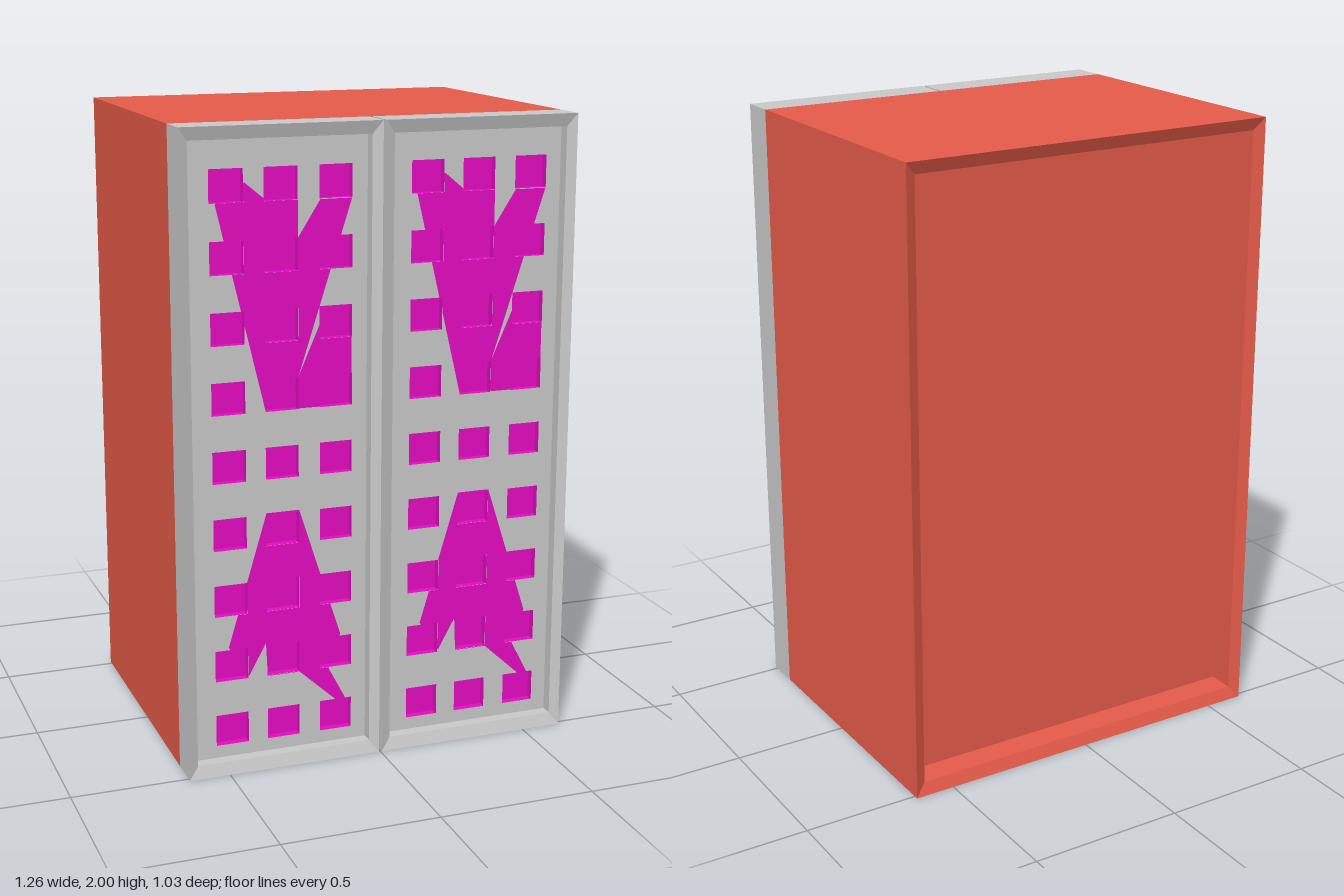
import * as THREE from 'three';

const GREY = new THREE.MeshStandardMaterial({ color: 0xcccccc, flatShading: true });
const RED = new THREE.MeshStandardMaterial({ color: 0xe85c4a, flatShading: true });
const MAGENTA = new THREE.MeshStandardMaterial({ color: 0xe80cc4, flatShading: true, side: THREE.DoubleSide });

function named(name, geometry, material) {
  const mesh = new THREE.Mesh(geometry, material);
  mesh.name = name;
  return mesh;
}

function flatGeometry(points) {
  const g = new THREE.BufferGeometry();
  g.setAttribute('position', new THREE.Float32BufferAttribute(points.flat(), 3));
  g.computeVertexNormals();
  return g;
}

// Skin through nested rectangles; each ring is [x inset, y inset, z]
function rectLoft([x0, x1, y0, y1], rings, startCap, endCap) {
  const loops = rings.map(([a, b, z]) => [
    [x0 + a, y0 + b, z], [x1 - a, y0 + b, z], [x1 - a, y1 - b, z], [x0 + a, y1 - b, z]]);
  const out = [];
  const quad = (a, b, c, d) => out.push(a, b, c, a, c, d);
  for (let r = 0; r + 1 < loops.length; r++) {
    const A = loops[r], B = loops[r + 1];
    for (let i = 0; i < 4; i++) {
      const j = (i + 1) % 4;
      quad(A[i], A[j], B[j], B[i]);
    }
  }
  if (startCap) quad(...[...loops[0]].reverse());
  if (endCap) quad(...loops[loops.length - 1]);
  return flatGeometry(out);
}

// Clip a convex polygon to a rectangle
function clip(poly, [x0, x1, y0, y1]) {
  for (const [axis, limit, sign] of [[0, x0, 1], [0, x1, -1], [1, y0, 1], [1, y1, -1]]) {
    const next = [];
    poly.forEach((p, i) => {
      const q = poly[(i + 1) % poly.length];
      const dp = sign * (p[axis] - limit), dq = sign * (q[axis] - limit);
      if (dp >= 0) next.push(p);
      if (dp * dq < 0) {
        const t = dp / (dp - dq);
        next.push([p[0] + t * (q[0] - p[0]), p[1] + t * (q[1] - p[1])]);
      }
    });
    poly = next;
  }
  return poly;
}

const PANEL_Z = 0.465;
const COLUMNS = [[-0.528, -0.423], [-0.36, -0.255], [-0.187, -0.083]];
const ROWS = Array.from({ length: 9 }, (_, i) => [0.08 + i * 0.2115, 0.18 + i * 0.2115]);
const WINDOWS = ROWS.flatMap(r => COLUMNS.map(c => [...c, ...r]));

// Angular colour patches on the panel, as convex pieces
const PATCHES = [
  [[-0.51, 1.77], [-0.42, 1.83], [-0.36, 1.78], [-0.36, 1.14]],
  [[-0.36, 1.78], [-0.255, 1.77], [-0.255, 1.14], [-0.36, 1.14]],
  [[-0.255, 1.66], [-0.185, 1.77], [-0.085, 1.77], [-0.255, 1.24]],
  [[-0.255, 1.24], [-0.185, 1.4], [-0.085, 1.4], [-0.085, 1.14], [-0.255, 1.14]],
  [[-0.36, 0.82], [-0.255, 0.82], [-0.12, 0.4], [-0.485, 0.4]],
  [[-0.485, 0.4], [-0.365, 0.4], [-0.42, 0.3]],
  [[-0.365, 0.4], [-0.12, 0.4], [-0.16, 0.29], [-0.255, 0.29], [-0.36, 0.29]],
  [[-0.255, 0.29], [-0.16, 0.29], [-0.1, 0.175], [-0.13, 0.175]],
];

// Patches cut to the strips between the windows, so the recesses stay open
function patchGeometry() {
  const spans = (bands, lo, hi) => {
    const edges = [lo, ...bands.flat(), hi];
    return edges.slice(1).map((e, i) => [edges[i], e]);
  };
  const out = [];
  spans(ROWS, 0.04, 1.96).forEach((r, ri) => spans(COLUMNS, -0.6, -0.035).forEach((c, ci) => {
    if (ri % 2 && ci % 2) return;
    for (const patch of PATCHES) {
      const p = clip(patch, [...c, ...r]).map(([x, y]) => [x, y, PANEL_Z + 0.002]);
      // pieces run clockwise, so the fan is reversed to face forward
      for (let i = 1; i + 1 < p.length; i++) out.push(p[0], p[i + 1], p[i]);
    }
  }));
  return flatGeometry(out);
}

function rectPath(path, [x0, x1, y0, y1]) {
  path.moveTo(x0, y0);
  path.lineTo(x1, y0);
  path.lineTo(x1, y1);
  path.lineTo(x0, y1);
  path.closePath();
  return path;
}

function makeDoor(name) {
  const door = new THREE.Group();
  door.name = name;

  // Slab with a bevelled border and a sunken face
  door.add(named('doorFrame', rectLoft([-0.63, -0.005, 0, 2], [
    [0, 0, 0.4], [0, 0, 0.515], [0.03, 0.04, 0.503], [0.03, 0.04, PANEL_Z]], true, false), GREY));

  const panel = rectPath(new THREE.Shape(), [-0.6, -0.035, 0.04, 1.96]);
  panel.holes = WINDOWS.map(w => rectPath(new THREE.Path(), w));
  door.add(named('doorPanel', new THREE.ShapeGeometry(panel).translate(0, 0, PANEL_Z), GREY));

  // Square recesses
  for (const w of WINDOWS) {
    door.add(named('windowRecess', rectLoft(w, [
      [0, 0, PANEL_Z], [0, 0, PANEL_Z - 0.025]], false, true), MAGENTA));
  }
  door.add(named('colourPatches', patchGeometry(), MAGENTA));
  return door;
}

export function createModel() {
  const model = new THREE.Group();
  model.name = 'cabinet';

  // Body with a bevelled rim and sunken panel at the back
  model.add(named('body', rectLoft([-0.63, 0.63, 0, 2], [
    [0.035, 0.04, -0.415], [0.035, 0.04, -0.5], [0, 0, -0.515], [0, 0, 0.4]], true, true), RED));

  const rightDoor = makeDoor('rightDoor');
  const leftDoor = makeDoor('leftDoor');
  leftDoor.position.x = 0.635;
  model.add(rightDoor, leftDoor);
  return model;
}
